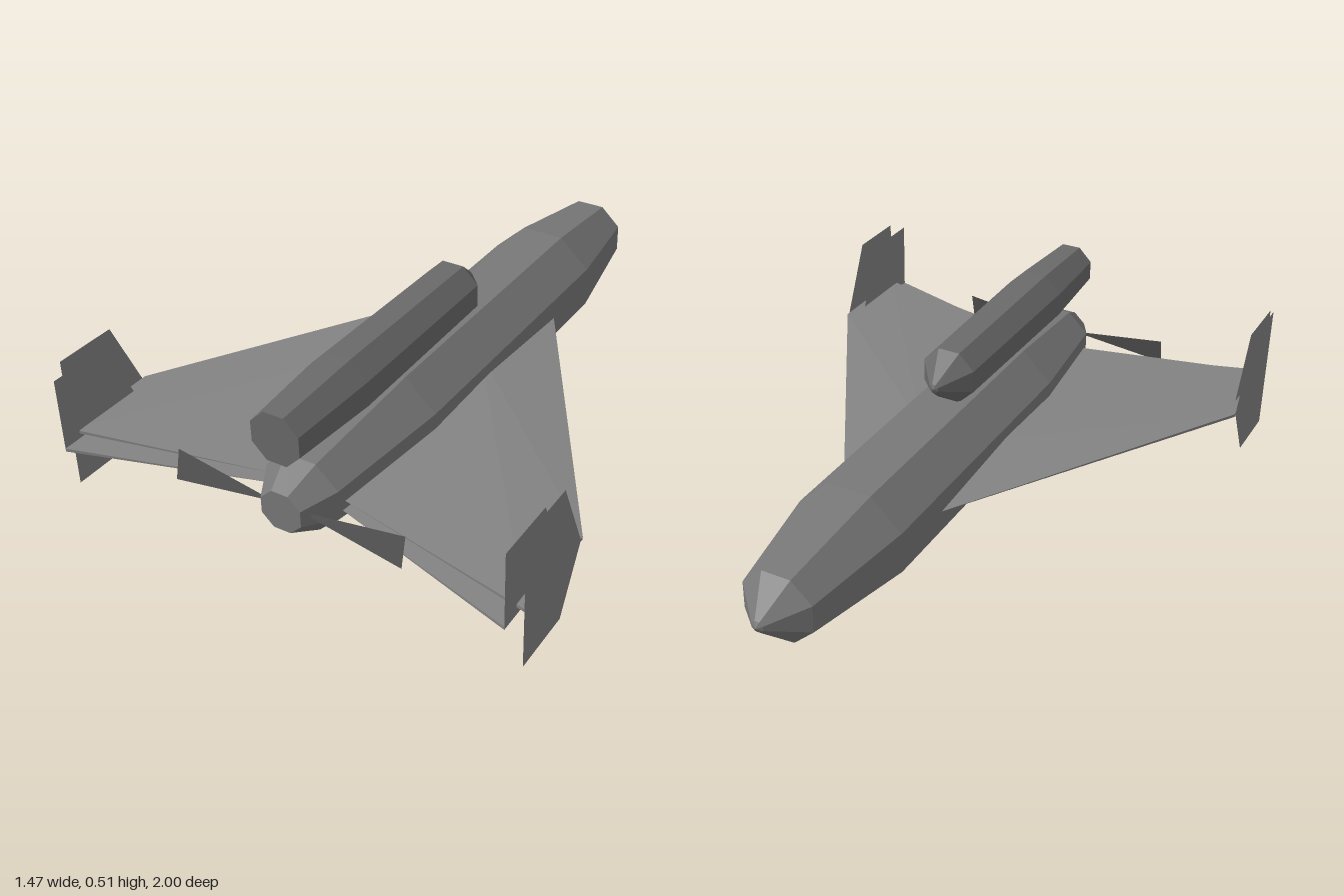
import * as THREE from 'three';

const paint = (color, side = THREE.FrontSide) =>
  new THREE.MeshStandardMaterial({ color, flatShading: true, side });
const hullGrey = paint(0x787878);
const podGrey = paint(0x6a6a6a);
const wingGrey = paint(0x838383, THREE.DoubleSide);
const bladeGrey = paint(0x545454, THREE.DoubleSide);

// Eight-sided body along z; each ring is [z, half width], height centred on y
function octagonBody(name, material, rings, y, heightScale) {
  const k = Math.cos(Math.PI / 8);
  const profile = rings.map(([z, r]) => new THREE.Vector2(r / k, z));
  const geo = new THREE.LatheGeometry(profile, 8, Math.PI / 8);
  geo.rotateX(Math.PI / 2);
  geo.scale(1, heightScale, 1);
  geo.translate(0, y, 0);
  const mesh = new THREE.Mesh(geo, material);
  mesh.name = name;
  return mesh;
}

// Thin panel from corner points and triangles
function panel(name, material, points, faces) {
  const geo = new THREE.BufferGeometry();
  geo.setAttribute('position', new THREE.Float32BufferAttribute(points.flat(), 3));
  geo.setIndex(faces.flat());
  geo.computeVertexNormals();
  const mesh = new THREE.Mesh(geo, material);
  mesh.name = name;
  return mesh;
}

// Delta wing: thickest at the root, with sharp edges and a thin blunt tip
function wing(name, { tipX, y, top, bottom, rootZ, ridgeZ, tailZ, tipZ, endZ }) {
  const t = 0.005;
  const points = [
    [0.1, y, rootZ], [0.1, top, ridgeZ], [0.1, y, tailZ],
    [tipX, y + t, tipZ], [tipX, y + t, endZ],
    [0.1, bottom, ridgeZ], [tipX, y - t, tipZ], [tipX, y - t, endZ],
  ];
  return panel(name, wingGrey, points, [
    [0, 1, 3], [1, 2, 4], [1, 4, 3], // upper skin
    [0, 6, 5], [5, 6, 7], [5, 7, 2], // lower skin
    [0, 3, 6], [2, 7, 4], // leading and trailing edges
    [3, 4, 7], [3, 7, 6], // tip
  ]);
}

// Upright swept fin at x, from base y with a signed height
function fin(name, x, y, height, z) {
  const points = [[x, y, z], [x, y + height, z + 0.105], [x, y + height, z + 0.305], [x, y, z + 0.305]];
  return panel(name, wingGrey, points, [[0, 1, 2], [0, 2, 3]]);
}

// Everything on one side of the craft
function sideParts(name) {
  const group = new THREE.Group();
  group.name = name;
  group.add(
    wing('upperWing', {
      tipX: 0.733, y: 0.187, top: 0.217, bottom: 0.178,
      rootZ: -0.41, ridgeZ: 0.05, tailZ: 0.81, tipZ: 0.63, endZ: 0.945,
    }),
    wing('lowerWing', {
      tipX: 0.708, y: 0.162, top: 0.168, bottom: 0.132,
      rootZ: -0.33, ridgeZ: 0.1, tailZ: 0.82, tipZ: 0.695, endZ: 1,
    }),
    fin('upperTipFin', 0.733, 0.187, 0.233, 0.64),
    fin('lowerTipFin', 0.733, 0.187, -0.187, 0.64),
    fin('innerTipFin', 0.708, 0.162, 0.233, 0.695),
    // flat tail blade widening outwards
    panel('tailBlade', bladeGrey,
      [[0.04, 0.187, 0.912], [0.368, 0.144, 0.927], [0.368, 0.234, 0.905]], [[0, 1, 2]]),
  );
  return group;
}

export function createModel() {
  const model = new THREE.Group();
  model.name = 'spacecraft';

  model.add(octagonBody('fuselage', hullGrey, [
    [-1, 0], [-0.99, 0.018], [-0.895, 0.111], [-0.53, 0.168], [0.43, 0.168],
    [0.84, 0.117], [0.94, 0.064], [0.94, 0],
  ], 0.187, 0.94));

  model.add(octagonBody('topPod', podGrey, [
    [-0.05, 0], [-0.043, 0.014], [0.05, 0.085], [0.65, 0.092], [0.94, 0.076], [0.94, 0],
  ], 0.423, 1));

  const left = sideParts('leftSide');
  const right = sideParts('rightSide');
  right.scale.x = -1;
  model.add(left, right);
  return model;
}
